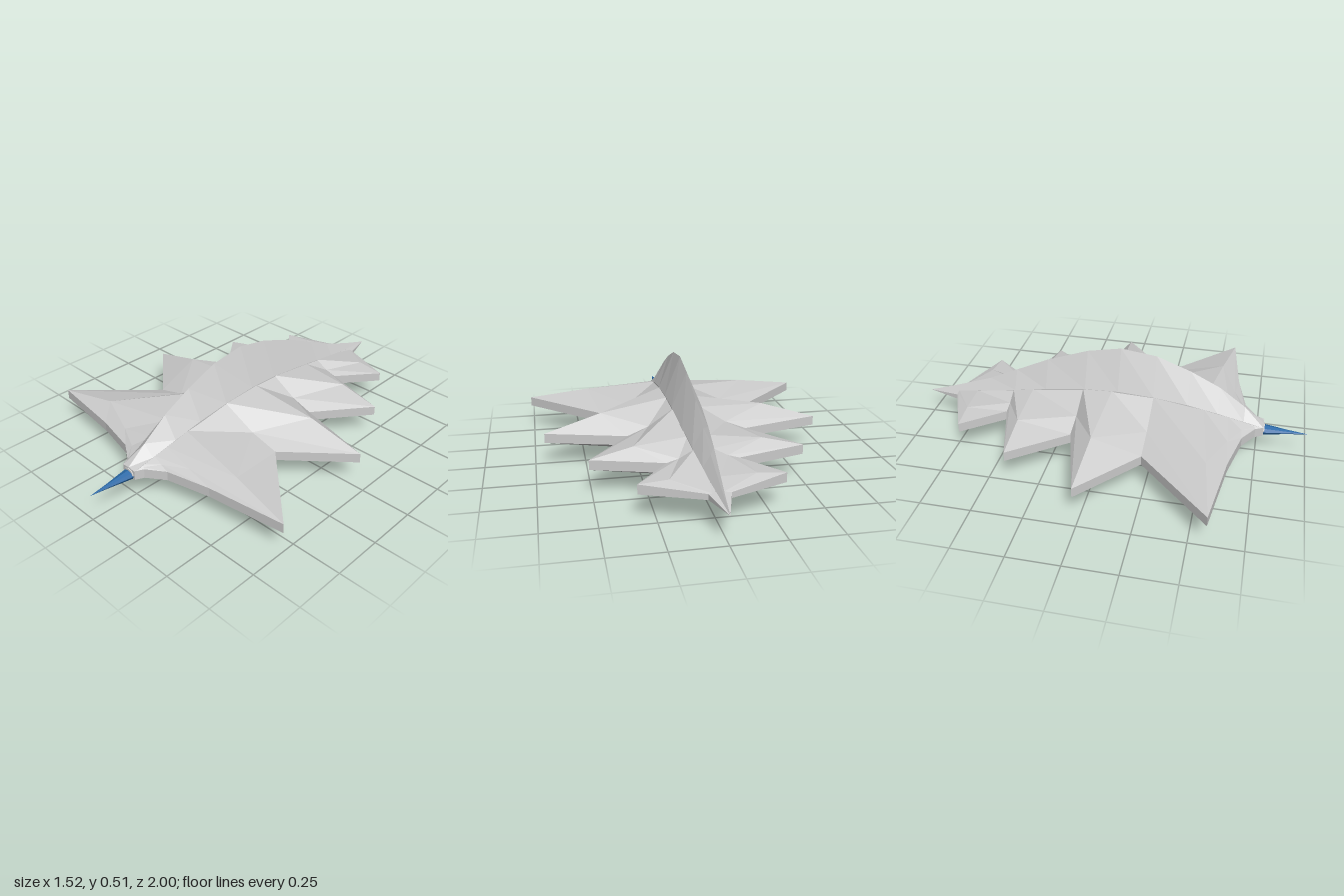
import * as THREE from 'three';

const grey = new THREE.MeshStandardMaterial({ color: 0xcccccc, flatShading: true });
const blue = new THREE.MeshStandardMaterial({ color: 0x2a6aa8, flatShading: true });

// Skin closed rings (counter-clockwise seen from +z, ordered back to front), capped at both ends
function skin(name, rings, material) {
  const pos = [];
  const tri = (a, b, c) => pos.push(...a, ...b, ...c);
  const n = rings[0].length;
  for (let i = 0; i < rings.length - 1; i++) {
    for (let j = 0; j < n; j++) {
      const k = (j + 1) % n;
      const a = rings[i][j], b = rings[i][k], c = rings[i + 1][k], d = rings[i + 1][j];
      tri(a, b, c);
      tri(a, c, d);
    }
  }
  const first = rings[0], last = rings[rings.length - 1];
  for (let j = 1; j < n - 1; j++) {
    tri(first[0], first[j + 1], first[j]);
    tri(last[0], last[j], last[j + 1]);
  }
  const geo = new THREE.BufferGeometry();
  geo.setAttribute('position', new THREE.Float32BufferAttribute(pos, 3));
  geo.computeVertexNormals();
  const mesh = new THREE.Mesh(geo, material);
  mesh.name = name;
  return mesh;
}

// Hull stations: z, half width, fin top, upper shoulder, lower shoulder, keel
const hull = [
  [-1.0, 0.0, 0.212, 0.212, 0.212, 0.212],
  [-0.85, 0.015, 0.26, 0.235, 0.203, 0.187],
  [-0.65, 0.036, 0.33, 0.27, 0.188, 0.16],
  [-0.5, 0.05, 0.4, 0.305, 0.175, 0.135],
  [-0.33, 0.063, 0.48, 0.34, 0.164, 0.11],
  [-0.12, 0.075, 0.555, 0.375, 0.154, 0.087],
  [0.05, 0.08, 0.588, 0.385, 0.15, 0.079],
  [0.23, 0.08, 0.565, 0.375, 0.153, 0.087],
  [0.4, 0.075, 0.5, 0.35, 0.163, 0.11],
  [0.55, 0.066, 0.425, 0.315, 0.177, 0.14],
  [0.68, 0.053, 0.33, 0.277, 0.19, 0.17],
  [0.78, 0.04, 0.25, 0.245, 0.2, 0.195],
];

// Hull values at any z
function hullAt(z) {
  let i = 0;
  while (i < hull.length - 2 && hull[i + 1][0] < z) i++;
  const t = (z - hull[i][0]) / (hull[i + 1][0] - hull[i][0]);
  return hull[i].map((v, k) => v + (hull[i + 1][k] - v) * t);
}

// Wing outline: tip x, tip z, root z, bulge of the ridge (+) or valley (-)
const outline = [
  [0.0, -1.0, -1.0, 0],
  [0.05, -0.83, -0.83, 0],
  [0.33, -0.71, -0.72, 0.008],
  [0.17, -0.51, -0.51, -0.008],
  [0.51, -0.41, -0.4, 0.015],
  [0.3, -0.14, -0.13, -0.015],
  [0.7, -0.03, 0.02, 0.022],
  [0.4, 0.23, 0.23, -0.018],
  [0.76, 0.58, 0.48, 0.01],
  [0.37, 0.63, 0.6, 0],
  [0.15, 0.68, 0.67, 0],
  [0.06, 0.74, 0.73, 0],
  [0.04, 0.78, 0.78, 0],
];

function wingRing([x, z, rootZ, bulge], side) {
  const [, half, , up, low] = hullAt(rootZ);
  const root = half * 0.92;
  const taper = Math.min(1, (z + 1) / 0.3); // edge thins out towards the tail
  const tipTop = 0.212 + 0.036 * taper, tipLow = 0.212 - 0.012 * taper;
  const t = 0.55;
  const ring = [
    [root, up, rootZ],
    [root, low, rootZ],
    [x, tipLow, z],
    [x, tipTop, z],
    [root + (x - root) * t, up + (tipTop - up) * t + bulge, rootZ + (z - rootZ) * t],
  ].map(([px, py, pz]) => [px * side, py, pz]);
  return side > 0 ? ring : ring.reverse();
}

export function createModel() {
  const group = new THREE.Group();
  group.name = 'leafShapedCraft';

  // Central hull with tall dorsal fin and shallow keel
  group.add(skin('hullFinAndKeel', hull.map(([z, w, top, up, low, keel]) => [
    [0, top, z], [-w, up, z], [-w, low, z], [0, keel, z], [w, low, z], [w, up, z],
  ]), grey));

  // Serrated wings
  for (const side of [1, -1]) {
    group.add(skin(side > 0 ? 'leftWing' : 'rightWing', outline.map((o) => wingRing(o, side)), grey));
  }

  // Nose collar
  const collar = new THREE.Mesh(new THREE.CylinderGeometry(0.032, 0.045, 0.06, 8), grey);
  collar.name = 'noseCollar';
  collar.rotation.x = Math.PI / 2;
  collar.scale.z = 0.75;
  collar.position.set(0, 0.22, 0.755);
  group.add(collar);

  // Slender nose spike
  const profile = [[0, 0], [0.032, 0], [0.026, 0.04], [0.013, 0.12], [0, 0.22]]
    .map(([r, h]) => new THREE.Vector2(r, h));
  const spike = new THREE.Mesh(new THREE.LatheGeometry(profile, 8), blue);
  spike.name = 'noseSpike';
  spike.rotation.x = Math.PI / 2;
  spike.scale.z = 0.75;
  spike.position.set(0, 0.213, 0.78);
  group.add(spike);

  return group;
}
